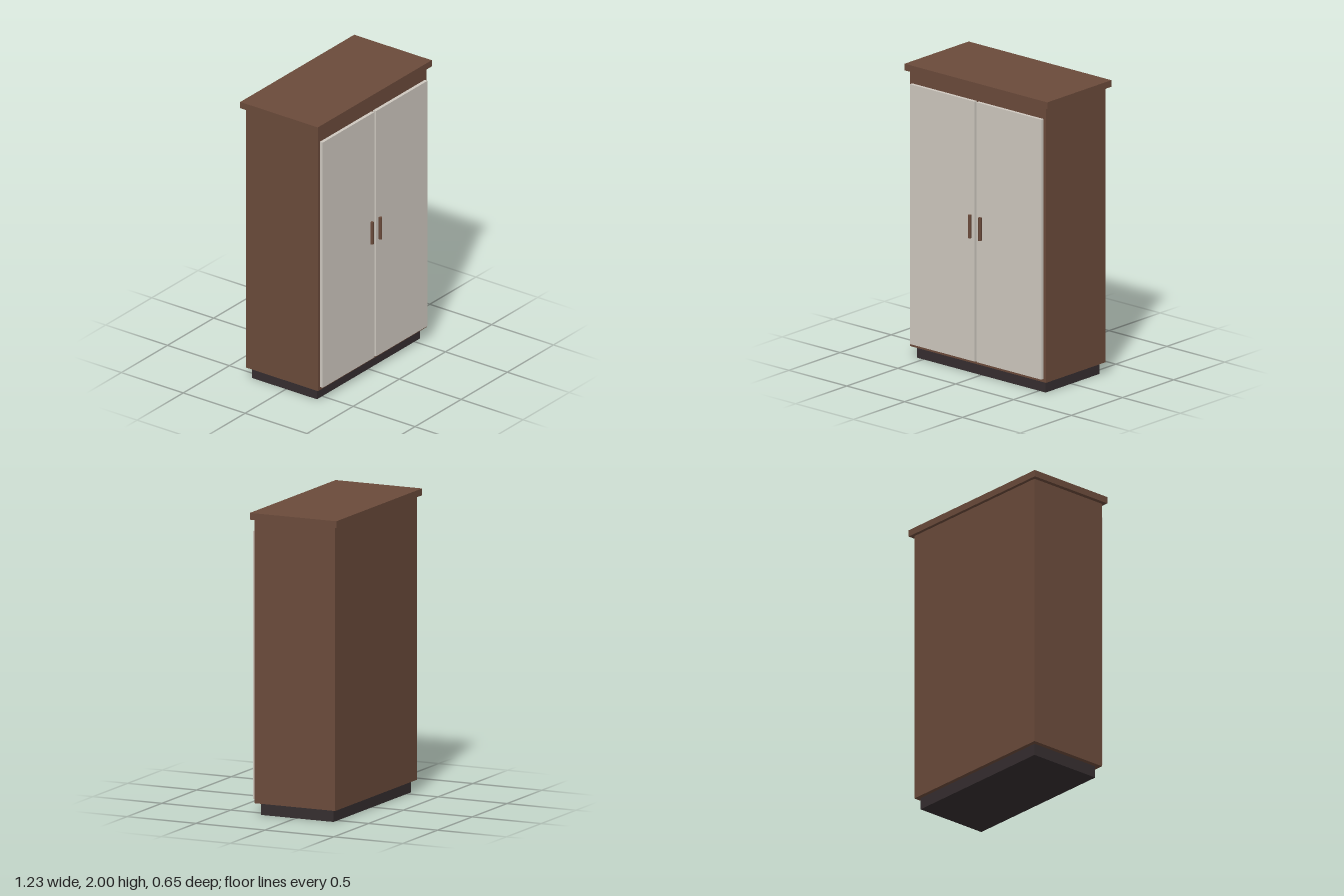
import * as THREE from 'three';

const material = (name, color) => {
  const m = new THREE.MeshStandardMaterial({ color });
  m.name = name;
  return m;
};

// Box given by its lower and upper corners
function box(name, mat, [x0, y0, z0], [x1, y1, z1]) {
  const mesh = new THREE.Mesh(new THREE.BoxGeometry(x1 - x0, y1 - y0, z1 - z0), mat);
  mesh.name = name;
  mesh.position.set((x0 + x1) / 2, (y0 + y1) / 2, (z0 + z1) / 2);
  return mesh;
}

export function createModel() {
  const wood = material('brown wood', 0x6a4a3a);
  const paint = material('cream door paint', 0xcdc7be);
  const dark = material('dark plinth', 0x352d2f);

  const wardrobe = new THREE.Group();
  wardrobe.name = 'wardrobe';

  // Recessed plinth, carcass and overhanging top
  wardrobe.add(
    box('plinth', dark, [-0.557, 0, -0.275], [0.557, 0.08, 0.25]),
    box('carcass', wood, [-0.588, 0.08, -0.302], [0.588, 1.955, 0.282]),
    box('top', wood, [-0.617, 1.955, -0.325], [0.617, 2, 0.302])
  );

  // Pair of doors with upright round handles beside the centre gap
  for (const [side, s] of [['left', 1], ['right', -1]]) {
    const door = new THREE.Group();
    door.name = side + 'Door';
    const [inner, outer] = [0.008 * s, 0.568 * s];
    door.add(box(side + 'DoorPanel', paint,
      [Math.min(inner, outer), 0.103, 0.282], [Math.max(inner, outer), 1.872, 0.305]));
    const handle = new THREE.Mesh(new THREE.CylinderGeometry(0.0115, 0.0115, 0.157, 16), wood);
    handle.name = side + 'Handle';
    handle.position.set(0.045 * s, 1.018, 0.3135);
    door.add(handle);
    wardrobe.add(door);
  }
  return wardrobe;
}
